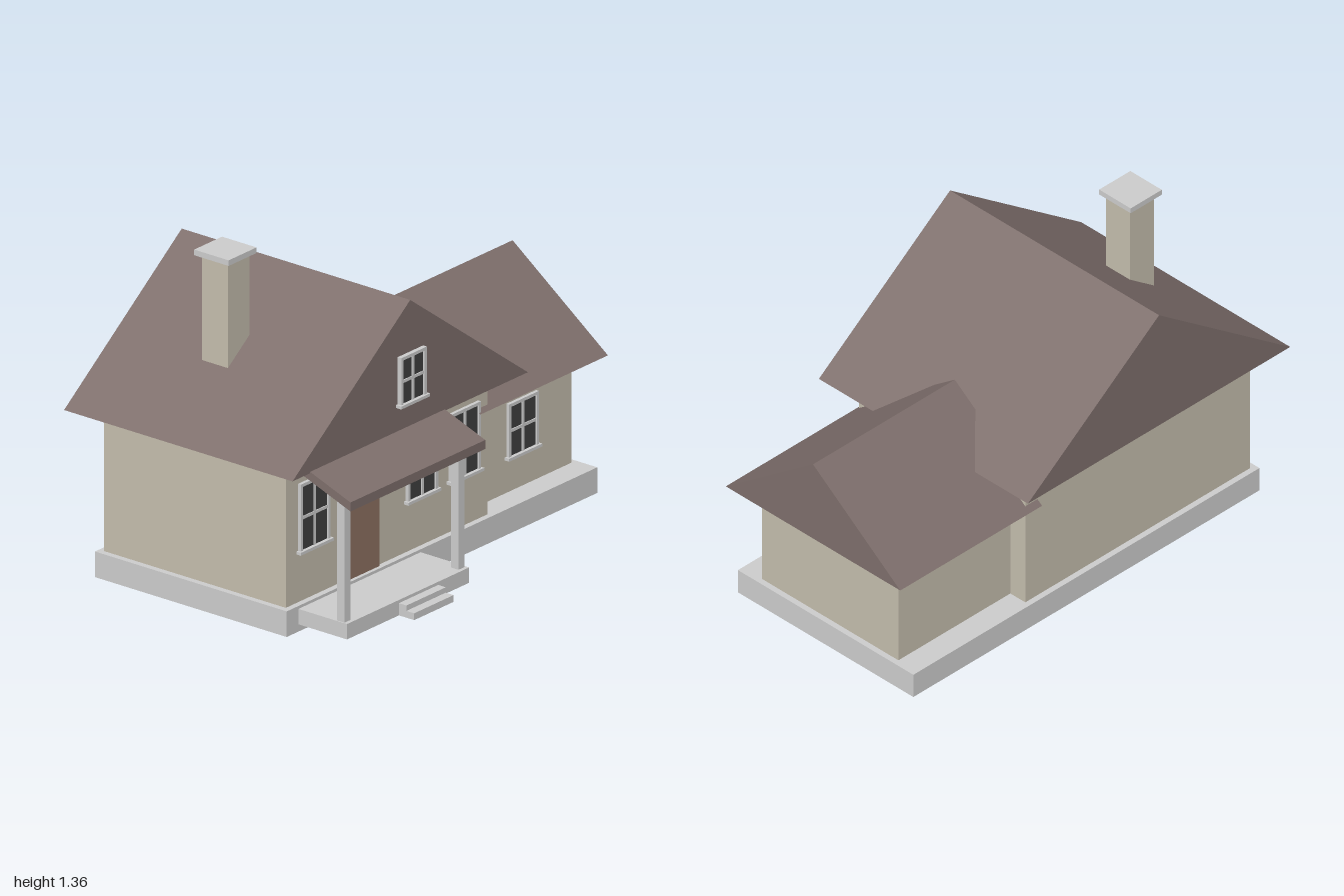
import * as THREE from 'three';

const mat = (color) => new THREE.MeshStandardMaterial({ color, flatShading: true });

export function createModel() {
  const house = new THREE.Group();
  house.name = 'house';
  const stone = mat(0xcccccc), wall = mat(0xc3bcac), roof = mat(0x7d6e6b);
  const glass = mat(0x3e3e3e), wood = mat(0x8d7161);

  const add = (parent, name, geometry, material) => {
    const mesh = new THREE.Mesh(geometry, material);
    mesh.name = name;
    parent.add(mesh);
    return mesh;
  };

  // Box given by its extents on each axis
  const box = (parent, name, material, [x0, x1], [y0, y1], [z0, z1]) =>
    add(parent, name, new THREE.BoxGeometry(x1 - x0, y1 - y0, z1 - z0), material)
      .position.set((x0 + x1) / 2, (y0 + y1) / 2, (z0 + z1) / 2);

  // Solid prism: outline in x/y, extruded along z
  const prism = (points, depth) => new THREE.ExtrudeGeometry(
    new THREE.Shape(points.map(([x, y]) => new THREE.Vector2(x, y))),
    { depth, bevelEnabled: false });

  // Foundation and walls
  box(house, 'foundation', stone, [-0.925, 0.93], [0, 0.105], [-0.58, 0.36]);
  box(house, 'mainWalls', wall, [-0.9, 0.305], [0.1, 0.69], [-0.555, 0.335]);
  box(house, 'wingWalls', wall, [0.3, 0.905], [0.1, 0.545], [-0.475, 0.255]);

  // Gabled roofs: the main ridge runs along z, the wing ridge along x
  add(house, 'mainRoof', prism([[-1, 0.685], [0.406, 0.685], [-0.297, 1.205]], 1.12), roof)
    .position.z = -0.67;
  const wingRoof = add(house, 'wingRoof',
    prism([[-0.355, 0.54], [0.58, 0.54], [0.1125, 0.89]], 0.76), roof);
  wingRoof.rotation.y = Math.PI / 2;
  wingRoof.position.x = 0.24;

  // Chimney
  box(house, 'chimney', wall, [-0.7, -0.57], [0.8, 1.34], [-0.24, -0.113]);
  box(house, 'chimneyCap', stone, [-0.72, -0.553], [1.337, 1.36], [-0.262, -0.093]);

  // Porch floor, steps, posts and lean-to roof
  const porch = new THREE.Group();
  porch.name = 'porch';
  house.add(porch);
  box(porch, 'porchFloor', stone, [-0.855, -0.125], [0.03, 0.093], [0.35, 0.598]);
  box(porch, 'upperStep', stone, [-0.545, -0.31], [0.03, 0.08], [0.59, 0.635]);
  box(porch, 'lowerStep', stone, [-0.545, -0.31], [0.03, 0.058], [0.63, 0.673]);
  for (const x of [-0.833, -0.152])
    box(porch, 'porchPost', stone, [x - 0.0175, x + 0.0175], [0.09, 0.612], [0.546, 0.582]);
  const porchRoof = add(porch, 'porchRoof',
    prism([[-0.648, 0.58], [-0.34, 0.695], [-0.34, 0.732], [-0.648, 0.617]], 0.805), roof);
  porchRoof.rotation.y = Math.PI / 2;
  porchRoof.position.x = -0.895;

  // Front door
  box(house, 'door', wood, [-0.53, -0.352], [0.1, 0.565], [0.33, 0.345]);

  // Window: dark pane, surround, glazing cross and projecting sill
  const addWindow = (name, cx, y0, y1, z, w) => {
    const g = new THREE.Group();
    g.name = name;
    g.position.set(cx, 0, z);
    house.add(g);
    const h = w / 2, t = 0.013, mid = (y0 + y1) / 2;
    box(g, 'pane', glass, [-h + 0.003, h - 0.003], [y0, y1 - 0.003], [-0.004, 0.007]);
    for (const x of [-h + t / 2, h - t / 2])
      box(g, 'frameSide', stone, [x - t / 2, x + t / 2], [y0, y1], [-0.004, 0.014]);
    box(g, 'frameTop', stone, [-h, h], [y1 - t, y1], [-0.004, 0.014]);
    box(g, 'verticalBar', stone, [-0.006, 0.006], [y0, y1], [-0.004, 0.011]);
    box(g, 'horizontalBar', stone, [-h, h], [mid - 0.006, mid + 0.006], [-0.004, 0.011]);
    box(g, 'sill', stone, [-h - 0.01, h + 0.01], [y0 - 0.002, y0 + 0.01], [-0.004, 0.022]);
  };
  for (const x of [-0.738, -0.095, 0.16]) addWindow('mainWindow', x, 0.306, 0.59, 0.335, 0.178);
  addWindow('wingWindow', 0.604, 0.243, 0.47, 0.255, 0.178);
  addWindow('gableWindow', -0.297, 0.792, 0.995, 0.455, 0.152);

  return house;
}
